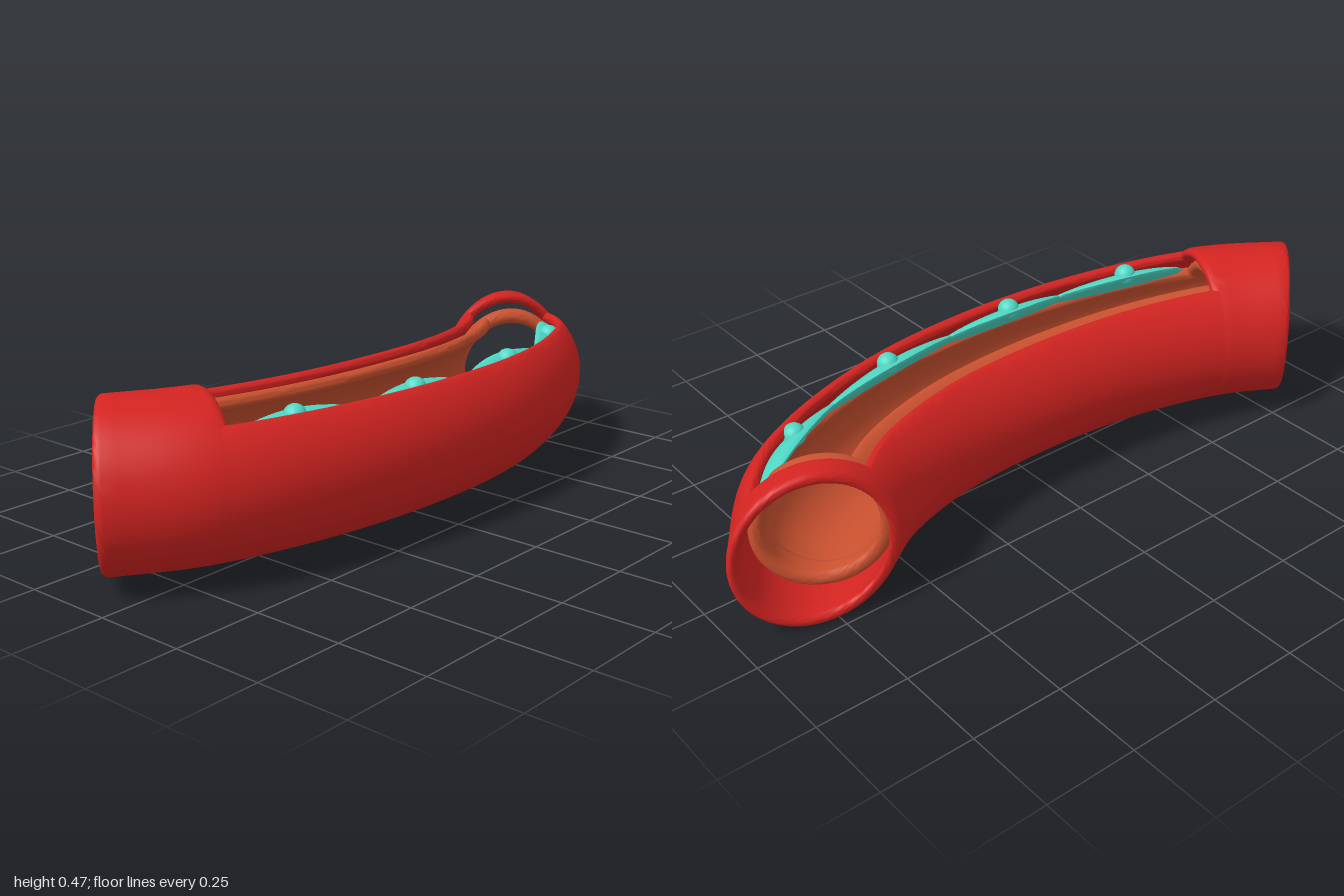
import * as THREE from 'three';
import { toCreasedNormals } from 'three/addons/utils/BufferGeometryUtils.js';

const curve = (pts) => new THREE.CatmullRomCurve3(pts.map(([x, z]) => new THREE.Vector3(x, 0, z)));
// Outer (front) and inner (back) outlines of the bent tube, matched point by point
const outer = curve([[-1.008, -0.005], [-0.77, 0.155], [-0.4, 0.263], [0.02, 0.3], [0.42, 0.252], [0.815, 0.08], [1.01, -0.16]]);
const inner = curve([[-0.725, -0.305], [-0.57, -0.235], [-0.3, -0.165], [0.02, -0.14], [0.28, -0.155], [0.47, -0.205], [0.6, -0.275]]);
const rad = THREE.MathUtils.degToRad;

// Point in the tube: u along it, a around it (0 = front, 90 deg = top), s = radius fraction
function tubePoint(u, a, s) {
  const o = outer.getPoint(u), i = inner.getPoint(u);
  const p = o.clone().add(i).multiplyScalar(0.5);
  p.addScaledVector(o.sub(i), 0.5 * s * Math.cos(a));
  p.y = 0.248 - 0.029 * u ** 2.3 + 0.2185 * s * Math.sin(a);
  return p;
}

// Grid surface from a point function of (i, j)
function loft(n, m, f) {
  const pos = [], idx = [];
  for (let i = 0; i <= n; i++) for (let j = 0; j <= m; j++) pos.push(...f(i, j).toArray());
  for (let i = 0; i < n; i++) for (let j = 0; j < m; j++) {
    const a = i * (m + 1) + j, b = a + m + 1;
    idx.push(a, b, b + 1, a, b + 1, a + 1);
  }
  const g = new THREE.BufferGeometry();
  g.setAttribute('position', new THREE.Float32BufferAttribute(pos, 3));
  g.setIndex(idx);
  return toCreasedNormals(g, 0.8);
}

// Closed band profile with rounded ends: p runs p0..p1, q is the thickness
function band(p0, p1, q0, q1, bulge, n) {
  const pts = [], d = Math.sign(p1 - p0) * bulge, q = (q0 + q1) / 2, h = (q1 - q0) / 2;
  for (let k = 0; k <= n; k++) pts.push([p0 + (p1 - p0) * k / n, q1]);
  for (let k = 1; k < 8; k++) pts.push([p1 + d * Math.sin(Math.PI * k / 8), q + h * Math.cos(Math.PI * k / 8)]);
  for (let k = 0; k <= n; k++) pts.push([p1 + (p0 - p1) * k / n, q0]);
  for (let k = 1; k < 8; k++) pts.push([p0 - d * Math.sin(Math.PI * k / 8), q - h * Math.cos(Math.PI * k / 8)]);
  pts.push(pts[0]);
  return pts;
}

// Full ring between two stations
function ring(u0, u1, s0, s1, bulge) {
  const prof = band(u1, u0, s0, s1, bulge, 8);
  return loft(72, prof.length - 1, (i, j) => tubePoint(prof[j][0], i / 72 * Math.PI * 2, prof[j][1]));
}

// Wall open along the top, with rounded rims; the front rim dips toward the left end
function trough(u0, u1, s0, s1, front, back) {
  const n = 64;
  const rows = Array.from({ length: n + 1 }, (_, i) => {
    const u = u0 + (u1 - u0) * i / n;
    return { u, prof: band(rad(back), rad(360 + front - 8 * u ** 4), s0, s1, 0.07, 48) };
  });
  return loft(n, rows[0].prof.length - 1, (i, j) => tubePoint(rows[i].u, ...rows[i].prof[j]));
}

export function createModel() {
  const model = new THREE.Group();
  const material = (color) => new THREE.MeshStandardMaterial({ color, side: THREE.DoubleSide });
  const red = material(0xd42421), orange = material(0xcc5230), teal = material(0x4fd8c6);
  const add = (name, geometry, mat, parent = model) => {
    const mesh = new THREE.Mesh(geometry, mat);
    mesh.name = name;
    parent.add(mesh);
    return mesh;
  };

  // Outer shell
  add('shellTrough', trough(0.18, 0.952, 0.86, 1, 46, 129), red);
  add('rightSleeve', ring(0.014, 0.18, 0.86, 1, 0.012), red);
  add('leftHoop', ring(0.952, 0.986, 0.86, 1, 0.012), red);

  // Inner lining with a free hoop near the left end
  add('liningTrough', trough(0.17, 0.89, 0.68, 0.83, 34, 117), orange);
  add('liningSleeve', ring(0.055, 0.17, 0.68, 0.83, 0.01), orange);
  add('liningHoop', ring(0.89, 0.915, 0.64, 0.82, 0.012), orange);

  // Leaves along the front wall, each with a bead
  const joints = [0.2, 0.375, 0.53, 0.725, 0.925], beads = [0.28, 0.447, 0.633, 0.797];
  const leaves = new THREE.Group();
  leaves.name = 'leaves';
  model.add(leaves);
  beads.forEach((bead, k) => {
    const u0 = joints[k] - 0.012, u1 = joints[k + 1] + 0.012, n = 28, m = 20;
    add('leaf', loft(n, m, (i, j) => {
      const t = i / n, u = u0 + (u1 - u0) * t, swell = Math.sin(Math.PI * t), c = j / m * Math.PI * 2;
      const width = rad(7 + 17 * swell) * Math.min(1, swell * 6);
      return tubePoint(u, rad(40 - 7 * u ** 4) - width * Math.cos(c),
        0.775 + 0.08 * Math.sqrt(swell + 1e-6) * Math.sin(c));
    }), teal, leaves);
    add('bead', new THREE.SphereGeometry(0.03, 24, 16), teal, leaves)
      .position.copy(tubePoint(bead, rad(54 - 18 * bead ** 4), 0.82));
  });
  return model;
}
